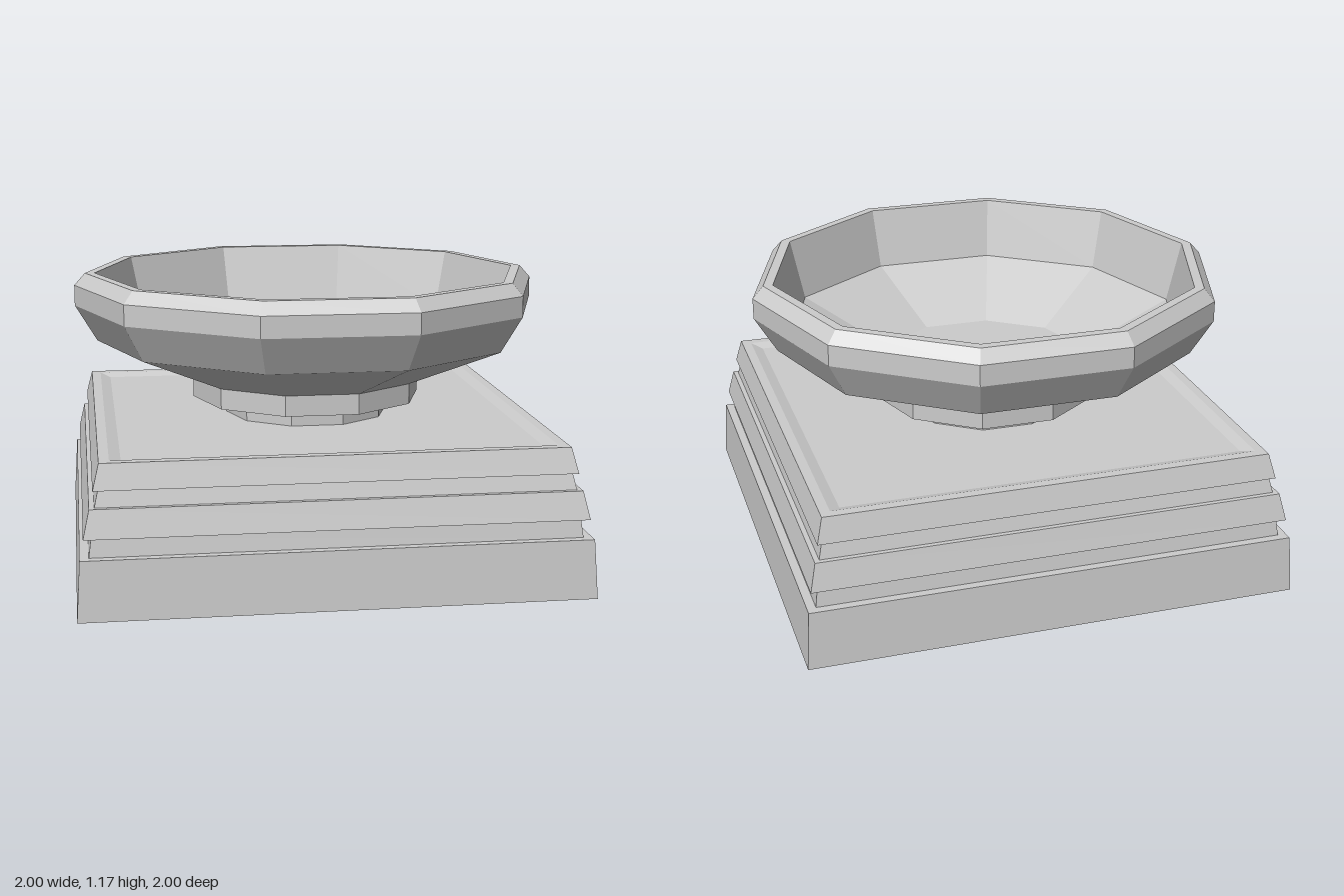
import * as THREE from 'three';

const material = new THREE.MeshStandardMaterial({ color: 0xcccccc, flatShading: true });

// Faceted solid turned from a closed [radius, height] profile, listed bottom to top on the outside.
function turned(name, profile, sides, angle, scale = 1) {
  const points = profile.map(([r, y]) => new THREE.Vector2(r * scale, y));
  const geometry = new THREE.LatheGeometry(points, sides).rotateY(angle).toNonIndexed();
  geometry.computeVertexNormals();
  const mesh = new THREE.Mesh(geometry, material);
  mesh.name = name;
  return mesh;
}

// Square parts give half-widths instead of radii.
const square = (name, profile) => turned(name, profile, 4, Math.PI / 4, Math.SQRT2);
// Ten-sided parts have corners on the x axis.
const decagon = (name, profile) => turned(name, profile, 10, Math.PI / 2);

export function createModel() {
  const group = new THREE.Group();
  group.name = 'birdBath';

  // Stepped plinth with shallow recessed panels below and on top
  group.add(square('plinth', [
    [0, 0.02], [0.66, 0.02], [0.685, 0], [1, 0],
    [0.985, 0.235], [0.95, 0.235],
    [0.94, 0.31], [0.97, 0.31],
    [0.945, 0.42], [0.925, 0.42],
    [0.91, 0.485], [0.93, 0.485],
    [0.905, 0.585], [0.865, 0.585],
    [0.82, 0.57], [0, 0.57],
  ]));

  // Neck and collar carrying the bowl
  group.add(decagon('neck', [[0, 0.56], [0.345, 0.56], [0.345, 0.645], [0, 0.645]]));
  group.add(decagon('collar', [[0, 0.64], [0.485, 0.64], [0.485, 0.73], [0, 0.73]]));

  // Bowl: outside, bevelled rim, inner wall, sloping basin and flat floor
  group.add(decagon('bowl', [
    [0, 0.725], [0.485, 0.725], [0.885, 0.89], [0.975, 1.04], [0.975, 1.125],
    [0.93, 1.175], [0.89, 1.175], [0.83, 0.925], [0.45, 0.745], [0, 0.745],
  ]));

  return group;
}
